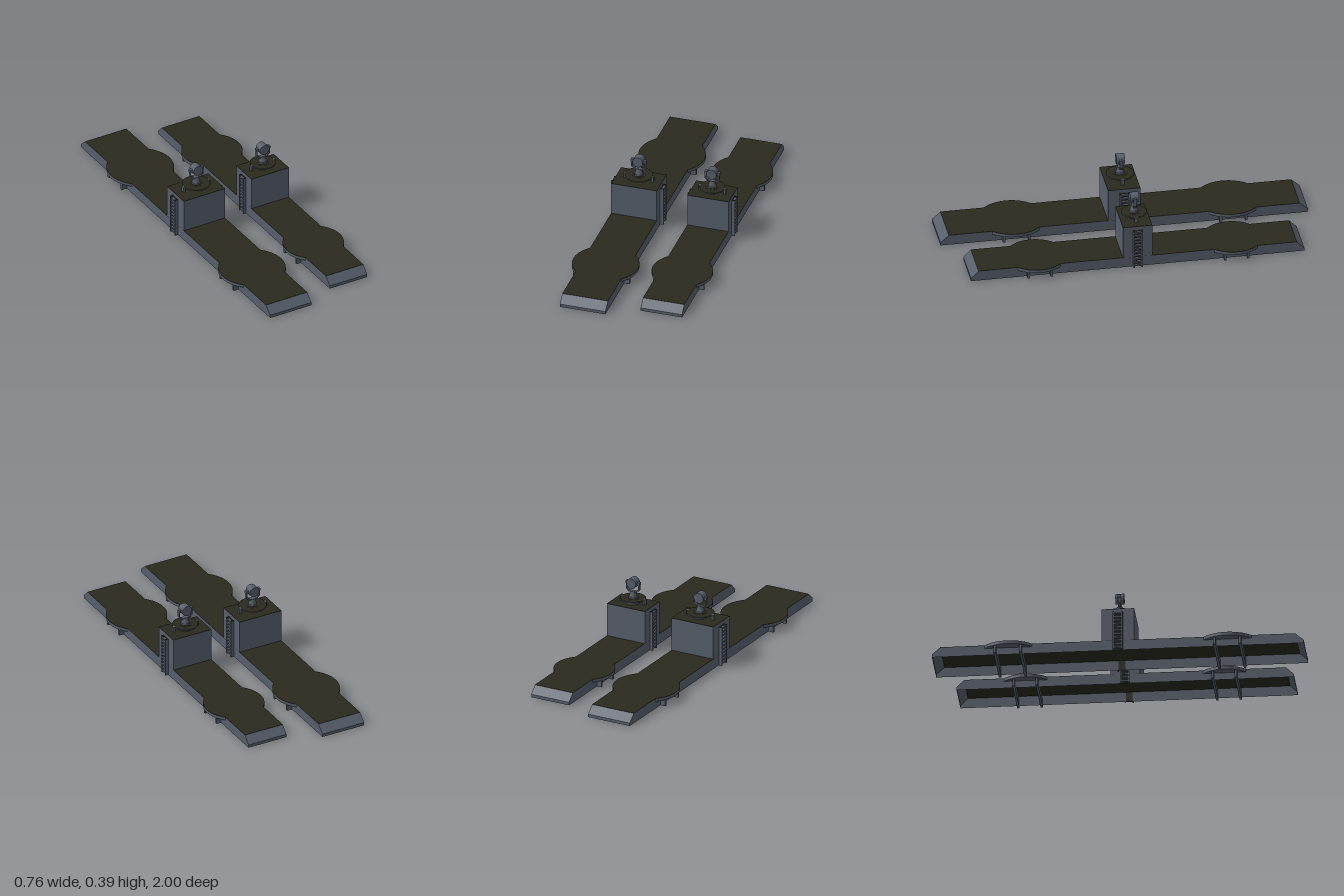
import * as THREE from 'three';

export function createModel() {
  const grey = new THREE.MeshStandardMaterial({ color: 0x565e6b, name: 'steel grey', side: THREE.DoubleSide });
  const dark = new THREE.MeshStandardMaterial({ color: 0x2a291d, name: 'dark olive deck', side: THREE.DoubleSide });
  const capped = [grey, dark, grey]; // cylinder side, top, bottom

  const add = (parent, name, geo, mat, x = 0, y = 0, z = 0) => {
    const mesh = new THREE.Mesh(geo, mat);
    mesh.name = name;
    mesh.position.set(x, y, z);
    parent.add(mesh);
    return mesh;
  };
  const box = (parent, name, w, h, d, x, y, z, mat = grey) =>
    add(parent, name, new THREE.BoxGeometry(w, h, d), mat, x, y, z);
  // upright cylinder between two heights
  const drum = (parent, name, rTop, rBottom, y0, y1, mat = grey) =>
    add(parent, name, new THREE.CylinderGeometry(rTop, rBottom, y1 - y0, 28), mat, 0, (y0 + y1) / 2, 0);

  const W = 0.256; // hull width

  // open shell walls, from rectangular rings of [height, half length]
  function hullWalls() {
    const rings = [[0, 1], [0.017, 1], [0.057, 0.955]].map(([y, l]) =>
      [[-1, 1], [1, 1], [1, -1], [-1, -1]].map(([sx, sz]) => [sx * W / 2, y, sz * l]));
    const pos = [];
    for (let r = 0; r < 2; r++)
      for (let i = 0; i < 4; i++) {
        const j = (i + 1) % 4;
        const [a, b, c, d] = [rings[r][i], rings[r][j], rings[r + 1][j], rings[r + 1][i]];
        pos.push(...a, ...b, ...c, ...a, ...c, ...d);
      }
    const geo = new THREE.BufferGeometry();
    geo.setAttribute('position', new THREE.Float32BufferAttribute(pos, 3));
    geo.computeVertexNormals();
    return geo;
  }

  // round sponson: the slice of a disc outside the hull wall, lying flat
  function discSlice(height) {
    const r = 0.181, a = Math.acos(W / 2 / r);
    const shape = new THREE.Shape().absarc(0, 0, r, -a, a, false);
    return new THREE.ExtrudeGeometry(shape, { depth: height, bevelEnabled: false, curveSegments: 20 })
      .rotateX(-Math.PI / 2);
  }

  function makeHull() {
    const g = new THREE.Group();
    g.name = 'hull';
    add(g, 'walls', hullWalls(), grey);
    box(g, 'deck', W, 0.002, 1.91, 0, 0.057, 0, dark);

    // round sponsons on both sides with paired cross beams
    for (const s of [-1, 1]) {
      for (const turn of [0, Math.PI]) {
        add(g, 'sponson', discSlice(0.016), grey, 0, 0.04, s * 0.59).rotation.y = turn;
        add(g, 'sponsonDeck', discSlice(0.002), dark, 0, 0.056, s * 0.59).rotation.y = turn;
      }
      for (const t of [-1, 1])
        box(g, 'crossBeam', 0.317, 0.04, 0.014, 0, 0.02, s * 0.59 + t * 0.069);
    }

    // central tower
    box(g, 'tower', W, 0.184, 0.176, 0, 0.15, 0);
    box(g, 'towerDeck', W, 0.002, 0.176, 0, 0.243, 0, dark);

    // ladders on both tower sides, with a dark recess behind the rungs
    for (const s of [-1, 1]) {
      const x = s * (W / 2 + 0.009);
      for (const t of [-1, 1]) {
        box(g, 'ladderRail', 0.02, 0.22, 0.008, x, 0.11, t * 0.023);
        box(g, 'ladderRailCap', 0.02, 0.002, 0.008, x, 0.221, t * 0.023, dark);
      }
      box(g, 'ladderRecess', 0.004, 0.22, 0.038, s * (W / 2 + 0.001), 0.11, 0, dark);
      for (let i = 0; i < 11; i++) box(g, 'ladderRung', 0.016, 0.008, 0.038, x, 0.012 + i * 0.02, 0);
    }

    // lamp platform on two legs
    drum(g, 'lampPlatform', 0.076, 0.076, 0.267, 0.273, capped);
    for (const s of [-1, 1]) {
      box(g, 'platformArm', 0.02, 0.006, 0.02, s * 0.074, 0.2695, 0);
      box(g, 'platformLeg', 0.013, 0.03, 0.02, s * 0.0775, 0.258, 0);
    }
    return g;
  }

  function makeSearchlight() {
    const g = new THREE.Group();
    g.name = 'searchlight';
    drum(g, 'base', 0.036, 0.036, 0.243, 0.274, capped);
    drum(g, 'collar', 0.025, 0.025, 0.274, 0.283);
    drum(g, 'pedestal', 0.014, 0.022, 0.283, 0.312);

    // U-shaped yoke: outer edge from right to left, then inner edge back
    const outer = [[0.041, 0.36], [0.041, 0.324], [0.024, 0.306]];
    const inner = [[0.021, 0.313], [0.035, 0.328], [0.035, 0.36]];
    const mirrored = pts => pts.map(([x, y]) => [-x, y]).reverse();
    const outline = [...outer, ...mirrored(outer), ...mirrored(inner), ...inner.slice()];
    const yokeShape = new THREE.Shape(outline.map(p => new THREE.Vector2(...p)));
    const yoke = new THREE.ExtrudeGeometry(yokeShape, { depth: 0.016, bevelEnabled: false });
    add(g, 'yoke', yoke.translate(0, 0, -0.008), grey);
    for (const s of [-1, 1]) box(g, 'pivot', 0.016, 0.016, 0.018, s * 0.035, 0.36, 0);

    const lamp = new THREE.CylinderGeometry(0.029, 0.029, 0.046, 20).rotateX(Math.PI / 2);
    add(g, 'lamp', lamp, grey, 0, 0.36, 0);
    return g;
  }

  // two hulls side by side, the second slightly smaller in plan
  const model = new THREE.Group();
  model.name = 'twinPlatforms';
  for (const [x, scale] of [[-0.199, 1], [0.214, 0.907]]) {
    const unit = new THREE.Group();
    unit.name = x < 0 ? 'rightPlatform' : 'leftPlatform';
    unit.position.x = x;
    const hull = makeHull();
    hull.scale.set(scale, 1, scale);
    unit.add(hull, makeSearchlight());
    model.add(unit);
  }
  return model;
}
